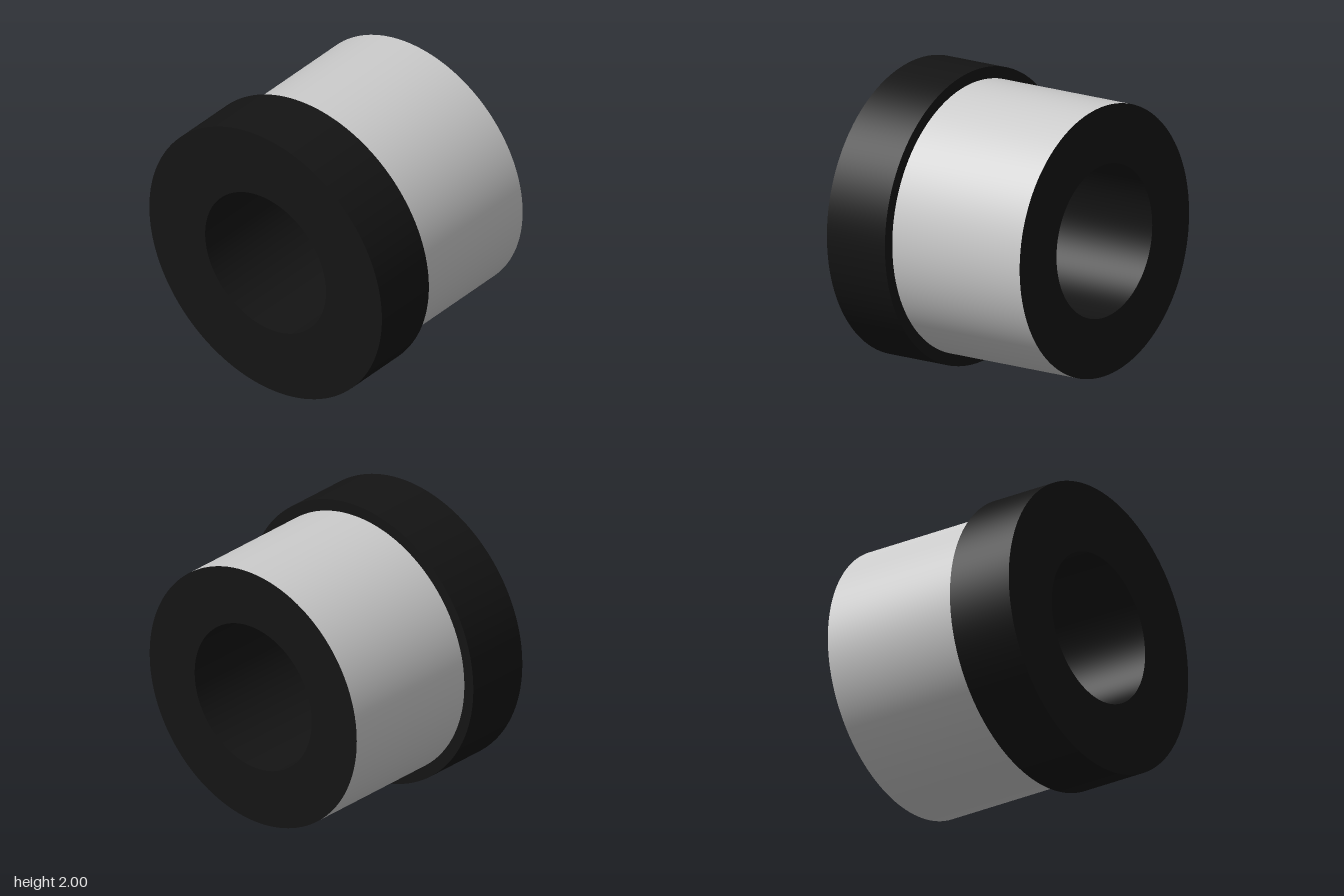
import * as THREE from 'three';
import { mergeGeometries } from 'three/addons/utils/BufferGeometryUtils.js';

const SEGMENTS = 128;

// Revolve each profile segment on its own, so the rims stay sharp.
// Points are [radius, position along x].
function revolve(name, points, material) {
  const bands = [];
  for (let i = 0; i < points.length - 1; i++) {
    const pair = [points[i], points[i + 1]].map(([r, x]) => new THREE.Vector2(r, x));
    bands.push(new THREE.LatheGeometry(pair, SEGMENTS));
  }
  const geometry = mergeGeometries(bands);
  geometry.rotateZ(-Math.PI / 2); // lathe axis onto +x
  const mesh = new THREE.Mesh(geometry, material);
  mesh.name = name;
  return mesh;
}

export function createModel() {
  const dark = new THREE.MeshStandardMaterial({ color: 0x141414 });
  const grey = new THREE.MeshStandardMaterial({ color: 0xcccccc });

  const left = 0.767, right = -0.767, shoulder = -0.287;
  const bore = 0.52, barrel = 0.92, flange = 1;

  const model = new THREE.Group();
  model.name = 'flangedBushing';

  // Dark body: flange, shoulder, end faces and bore
  model.add(revolve('flange', [
    [bore, right], [flange, right], [flange, shoulder], [barrel, shoulder],
  ], dark));
  model.add(revolve('endFaceAndBore', [
    [barrel, left], [bore, left], [bore, right],
  ], dark));

  // Grey outer surface of the barrel
  model.add(revolve('barrel', [[barrel, shoulder], [barrel, left]], grey));

  model.position.y = 1;
  return model;
}
